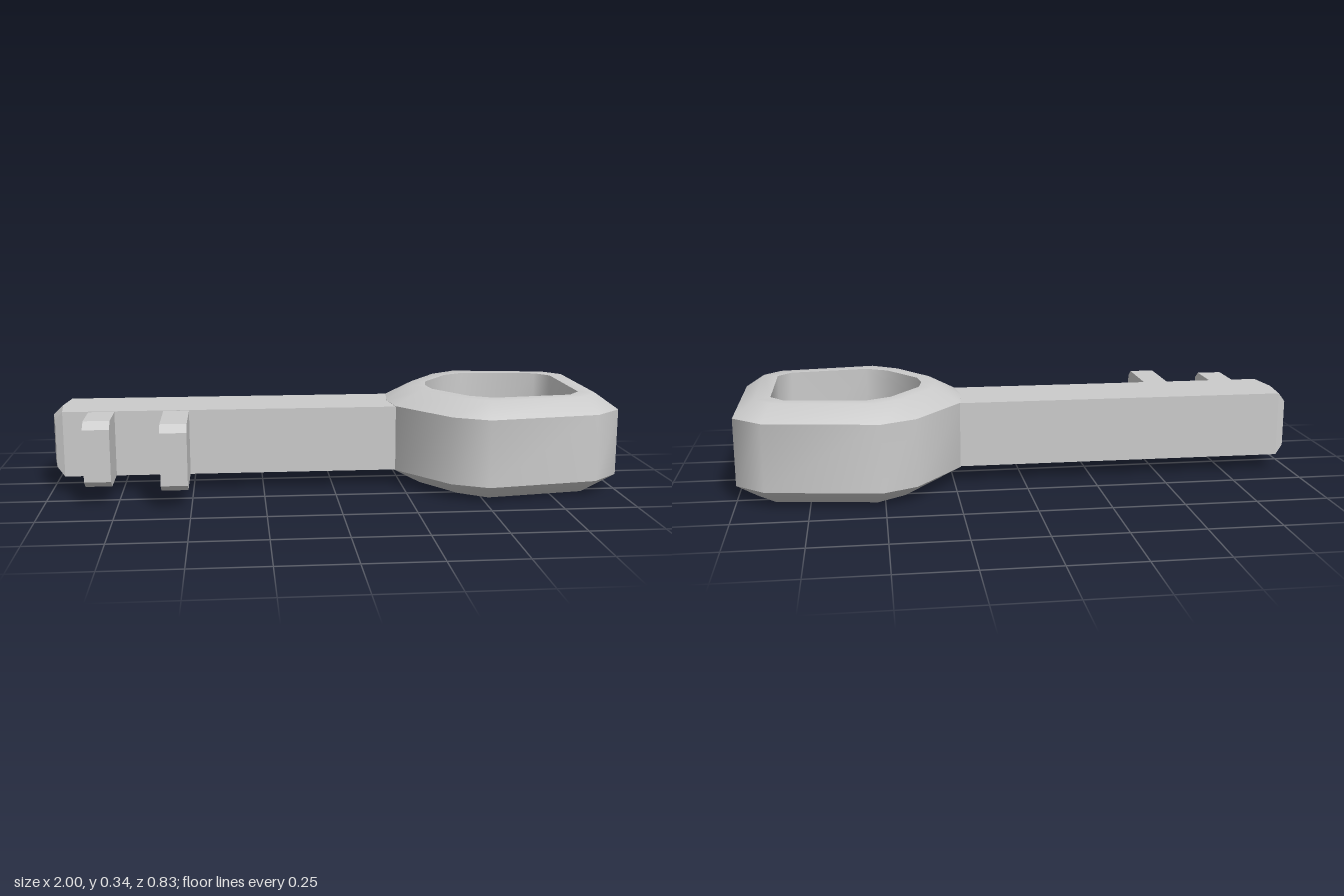
import * as THREE from 'three';
import { toCreasedNormals } from 'three/addons/utils/BufferGeometryUtils.js';

const material = new THREE.MeshStandardMaterial({ color: 0xcccccc });

// Skin a list of equal-length closed loops of [x, y, z]; optionally join last to first
function loft(rings, closed, crease) {
  const n = rings[0].length, index = [];
  const last = closed ? rings.length : rings.length - 1;
  for (let j = 0; j < last; j++) {
    const k = (j + 1) % rings.length;
    for (let i = 0; i < n; i++) {
      const m = (i + 1) % n;
      const a = j * n + i, b = j * n + m, c = k * n + m, d = k * n + i;
      index.push(a, b, c, a, c, d);
    }
  }
  const g = new THREE.BufferGeometry();
  g.setAttribute('position', new THREE.Float32BufferAttribute(rings.flat(2), 3));
  g.setIndex(index);
  return toCreasedNormals(g, crease);
}

// Half outline in [x, z], mirrored across z = 0 and lifted to height y
function outline(half, y) {
  const back = half.slice(1).reverse().map(([x, z]) => [x, -z]);
  return [...half, ...back].map(([x, z]) => [x, y, z]);
}

// Rectangular shaft section: ends at xMid in the middle and xSide on the flanks
function section(xMid, xSide, halfH, halfW) {
  const y = 0.173;
  return [
    [xSide, y + halfH, halfW], [xMid, y + halfH, 0], [xSide, y + halfH, -halfW],
    [xSide, y - halfH, -halfW], [xMid, y - halfH, 0], [xSide, y - halfH, halfW],
  ];
}

export function createModel() {
  const group = new THREE.Group();
  const add = (name, geometry) => {
    const mesh = new THREE.Mesh(geometry, material);
    mesh.name = name;
    group.add(mesh);
    return mesh;
  };

  // Bow: ring handle with wide outer bevels and a straight-walled hole
  const outer = [[0.21, 0], [0.225, 0.13], [0.39, 0.352], [0.51, 0.414], [0.9, 0.352], [1, 0.26]];
  const rim = [[0.3, 0], [0.32, 0.1], [0.43, 0.265], [0.525, 0.334], [0.87, 0.28], [0.93, 0.21]];
  const hole = [[0.355, 0], [0.367, 0.08], [0.47, 0.23], [0.55, 0.275], [0.83, 0.238], [0.877, 0.18]];
  add('bow', loft([
    outline(outer, 0.055), outline(outer, 0.29),
    outline(rim, 0.342), outline(hole, 0.342),
    outline(hole, 0), outline(rim, 0),
  ], true, 0.84));

  // Shaft with a chamfered, slightly pointed tip
  add('shaft', loft([
    section(0.33, 0.33, 0, 0),
    section(0.33, 0.33, 0.116, 0.132),
    section(-0.965, -0.95, 0.116, 0.132),
    section(-1, -0.978, 0.083, 0.118),
    section(-1, -1, 0, 0),
  ], false, 0.3));

  // Teeth: bars towards the front with chamfered ends
  for (const [x, z] of [[-0.815, 0.325], [-0.555, 0.397]]) {
    const profile = new THREE.Shape([
      [0.1, 0.059], [z - 0.035, 0.059], [z, 0.083],
      [z, 0.263], [z - 0.035, 0.287], [0.1, 0.287],
    ].map(([a, b]) => new THREE.Vector2(a, b)));
    const g = new THREE.ExtrudeGeometry(profile, { depth: 0.09, bevelEnabled: false });
    g.translate(0, 0, -0.045).rotateY(-Math.PI / 2);
    add('tooth', g).position.x = x;
  }

  return group;
}
